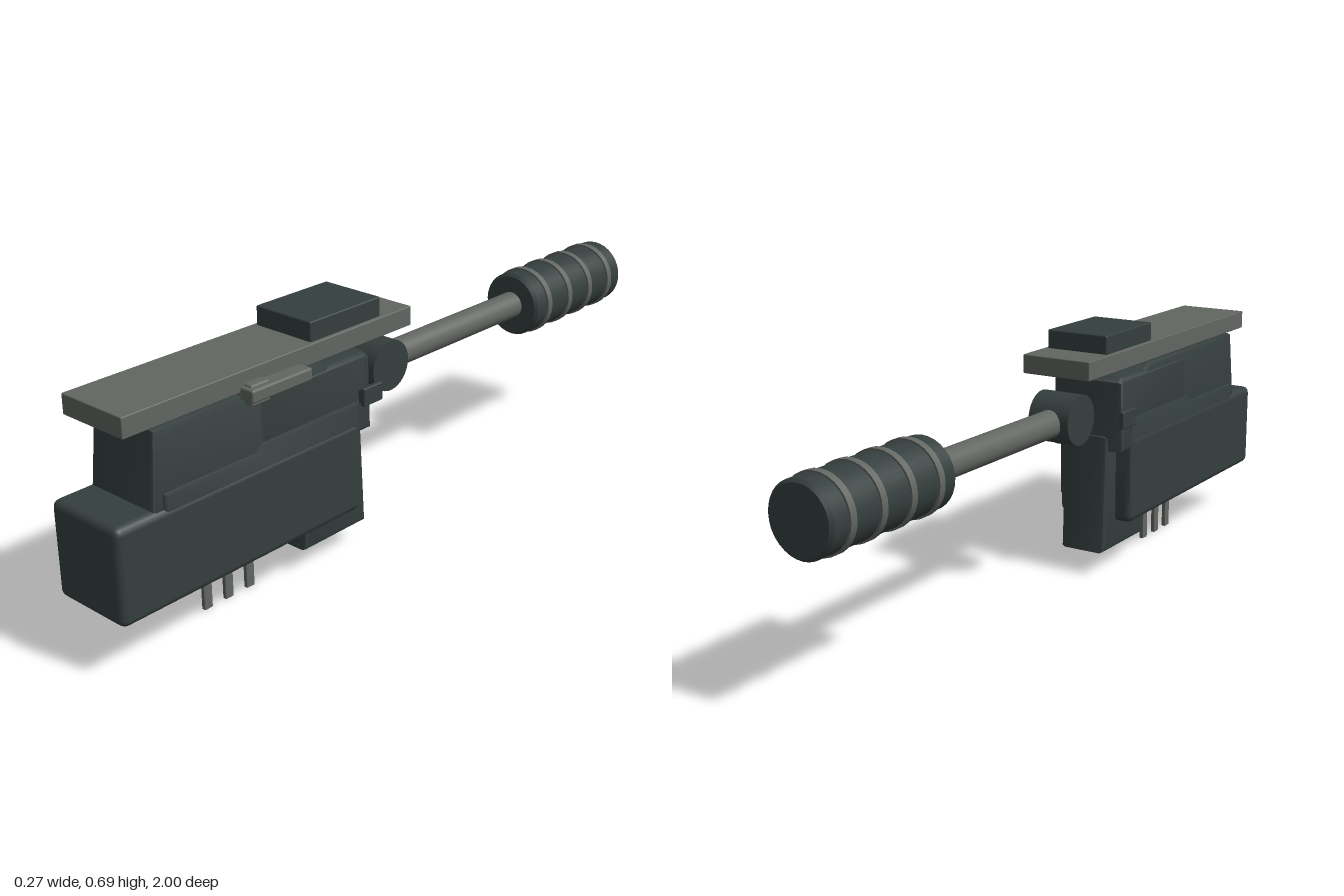
import * as THREE from 'three';
import { RoundedBoxGeometry } from 'three/addons/geometries/RoundedBoxGeometry.js';
import { toCreasedNormals } from 'three/addons/utils/BufferGeometryUtils.js';

const CX = -0.008; // middle of the body in x

export function createModel() {
  const model = new THREE.Group();
  const dark = new THREE.MeshStandardMaterial({ color: 0x353e3e });
  dark.name = 'dark plastic';
  const grey = new THREE.MeshStandardMaterial({ color: 0x626661 });
  grey.name = 'grey metal';

  function add(name, geometry, material) {
    const mesh = new THREE.Mesh(geometry, material);
    mesh.name = name;
    model.add(mesh);
    return mesh;
  }

  // Box given by its limits, with rounded edges
  function box(name, material, [x0, x1], [y0, y1], [z0, z1], r) {
    const g = new RoundedBoxGeometry(x1 - x0, y1 - y0, z1 - z0, 2, r);
    g.translate((x0 + x1) / 2, (y0 + y1) / 2, (z0 + z1) / 2);
    return add(name, g, material);
  }

  // Side outline in (z, y), extruded across x with bevelled edges;
  // taper narrows it linearly from y0 up to y1
  function sideSolid(name, points, halfWidth, bevel, taper, cx = CX) {
    const shape = new THREE.Shape(points.map(([z, y]) => new THREE.Vector2(z, y)));
    const depth = 2 * (halfWidth - bevel);
    let g = new THREE.ExtrudeGeometry(shape, {
      depth, bevelEnabled: true, bevelSize: bevel, bevelThickness: bevel,
      bevelOffset: -bevel, bevelSegments: 2,
    });
    g.translate(0, 0, -depth / 2).rotateY(-Math.PI / 2);
    if (taper) {
      const p = g.attributes.position;
      for (let i = 0; i < p.count; i++) {
        const t = THREE.MathUtils.clamp((p.getY(i) - taper.y0) / (taper.y1 - taper.y0), 0, 1);
        p.setX(i, p.getX(i) * (1 - t * (1 - taper.scale)));
      }
    }
    g.translate(cx, 0, 0);
    g = toCreasedNormals(g, 0.5);
    return add(name, g, dark);
  }

  // Casing: lower block, raised belt, tapered top and rear shell
  box('lowerBody', dark, [-0.125, 0.109], [0.145, 0.395], [0.22, 1], 0.02);
  sideSolid('sideBelt', [
    [0.22, 0.2], [0.86, 0.2], [0.86, 0.43], [0.58, 0.43], [0.56, 0.45], [0.22, 0.45],
  ], 0.115, 0.008);
  sideSolid('upperBody', [
    [0.3, 0.3], [0.9, 0.3], [0.872, 0.583], [0.35, 0.583], [0.3, 0.56],
  ], 0.112, 0.012, { y0: 0.39, y1: 0.58, scale: 0.93 });
  sideSolid('rearShell', [
    [0.175, 0.36], [0.56, 0.36], [0.56, 0.57], [0.19, 0.57], [0.175, 0.555],
  ], 0.113, 0.012, { y0: 0.53, y1: 0.57, scale: 0.92 });

  // Foot under the rear end
  sideSolid('rearFoot', [
    [0.15, 0.068], [0.38, 0.068], [0.375, 0.4], [0.166, 0.4],
  ], 0.068, 0.012);

  // Contact pins
  for (const z of [0.515, 0.587, 0.657]) {
    box('contactPin', grey, [-0.014, -0.002], [0.002, 0.2], [z - 0.013, z + 0.013], 0.002);
  }

  // Pivot nubs on both sides at the rear
  for (const side of [-1, 1]) {
    const x = CX + side * 0.122;
    box('sideNub', dark, [x - 0.0075, x + 0.0075], [0.434, 0.483], [0.15, 0.22], 0.004);
    const xi = CX + side * 0.107;
    box('nubArm', dark, [xi - 0.014, xi + 0.014], [0.44, 0.477], [0.178, 0.22], 0.004);
  }

  // Top plate and its raised pad
  box('topPlate', grey, [-0.111, 0.095], [0.59, 0.642], [0.012, 0.952], 0.003);
  box('topPad', dark, [-0.1, 0.085], [0.64, 0.693], [0.12, 0.37], 0.004);

  // Side latch
  box('latchBar', grey, [0.0, 0.135], [0.572, 0.605], [0.415, 0.61], 0.006);
  box('latchBlock', grey, [0.06, 0.121], [0.557, 0.611], [0.54, 0.6], 0.006);

  // Handle: crosswise hinge drum, rod, grip and rings
  const drum = new THREE.CylinderGeometry(0.069, 0.069, 0.122, 32);
  drum.rotateZ(Math.PI / 2).translate(CX, 0.475, 0.042);
  add('hingeDrum', drum, dark);

  const rod = new THREE.CylinderGeometry(0.038, 0.038, 0.58, 32);
  rod.rotateX(Math.PI / 2).translate(CX, 0.47, -0.29);
  add('handleRod', rod, grey);

  const profile = [[0, -0.219], [0.084, -0.219], [0.092, -0.211], [0.092, 0.211], [0.084, 0.219], [0, 0.219]];
  const grip = new THREE.LatheGeometry(profile.map(([r, y]) => new THREE.Vector2(r, y)), 32);
  grip.rotateX(Math.PI / 2).translate(CX, 0.47, -0.781);
  add('grip', toCreasedNormals(grip, 0.5), dark);

  for (const z of [-0.624, -0.727, -0.831, -0.935]) {
    const ring = new THREE.CylinderGeometry(0.097, 0.097, 0.02, 32);
    ring.rotateX(Math.PI / 2).translate(CX, 0.47, z);
    add('gripRing', ring, grey);
  }
  return model;
}
